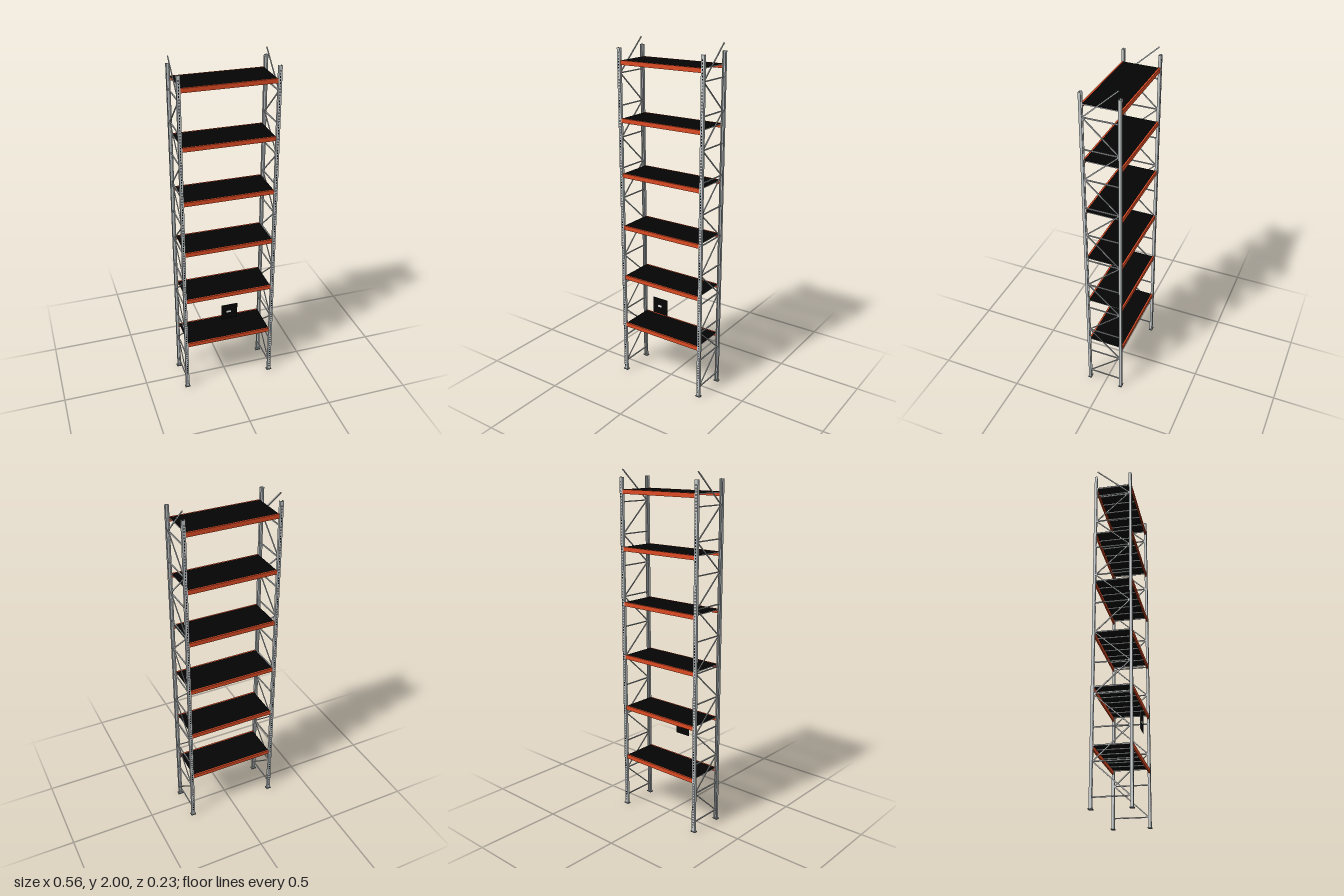
import * as THREE from 'three';
import { mergeGeometries } from 'three/addons/utils/BufferGeometryUtils.js';

const mat = (name, color) => {
  const m = new THREE.MeshStandardMaterial({ color });
  m.name = name;
  return m;
};

export function createModel() {
  const steel = mat('galvanised steel', 0xc2c7c8);
  const plateSteel = mat('foot plate steel', 0x737d81);
  const orange = mat('beam orange', 0xdc4a22);
  const black = mat('deck black', 0x040404);
  const white = mat('label white', 0xf2f2f2);

  const root = new THREE.Group();
  root.name = 'palletRack';
  const add = (parent, name, geo, material, x = 0, y = 0, z = 0) => {
    const m = new THREE.Mesh(geo, material);
    m.name = name;
    m.position.set(x, y, z);
    parent.add(m);
    return m;
  };
  const box = (w, h, d) => new THREE.BoxGeometry(w, h, d);

  const PX = 0.265, PZ = 0.102, POST_H = 1.96;
  const W = 0.02, D = 0.015, T = 0.003;

  // Channel post: closed outer face, open towards the middle of the rack
  const u = new THREE.Shape();
  [[-W / 2, -D / 2], [W / 2, -D / 2], [W / 2, D / 2], [W / 2 - T, D / 2],
    [W / 2 - T, -D / 2 + T], [-W / 2 + T, -D / 2 + T], [-W / 2 + T, D / 2], [-W / 2, D / 2]]
    .forEach(([x, y], i) => (i ? u.lineTo(x, y) : u.moveTo(x, y)));
  const postGeo = new THREE.ExtrudeGeometry(u, { depth: POST_H, bevelEnabled: false });
  postGeo.rotateX(-Math.PI / 2);

  // One column of slots on the outer face
  const slots = [];
  for (let y = 0.03; y < POST_H - 0.01; y += 0.016) {
    slots.push(new THREE.PlaneGeometry(0.005, 0.009).translate(0, y, D / 2 + 0.0006));
  }
  const slotGeo = mergeGeometries(slots);

  for (const sx of [-1, 1]) {
    for (const sz of [-1, 1]) {
      const post = new THREE.Group();
      post.name = 'post';
      post.position.set(sx * PX, 0, sz * PZ);
      post.rotation.y = sz > 0 ? 0 : Math.PI;
      root.add(post);
      add(post, 'postChannel', postGeo, steel);
      add(post, 'postSlots', slotGeo, black);
      add(post, 'footPlate', box(0.031, 0.005, 0.022), plateSteel, 0, 0.0025, 0);
    }

    // Side frame bracing: level struts joined by a zigzag of diagonals
    const brace = new THREE.Group();
    brace.name = 'sideBracing';
    root.add(brace);
    const step = 0.1766, reach = 0.097;
    for (let i = 0; i < 11; i++) {
      const y = 0.06 + i * step;
      add(brace, 'strut', box(0.006, 0.006, reach * 2), steel, sx * PX, y, 0);
      const dir = i % 2 ? -1 : 1;
      const rise = step - 0.005;
      const d = add(brace, 'diagonal', box(0.005, 0.006, Math.hypot(rise, reach * 2 - 0.006)),
        steel, sx * PX, y + step / 2, 0);
      d.rotation.x = dir * Math.atan2(rise, reach * 2 - 0.006);
    }
  }

  // Shelf levels
  for (let i = 0; i < 6; i++) {
    const shelf = new THREE.Group();
    shelf.name = 'shelf';
    shelf.position.y = 0.326 + i * 0.3136;
    root.add(shelf);
    for (const sz of [-1, 1]) {
      add(shelf, 'beam', box(0.514, 0.024, 0.008), orange, 0, -0.012, sz * 0.103);
    }
    add(shelf, 'deck', box(0.507, 0.002, 0.198), black, 0, -0.001, 0);
    // Cross bars under the deck, the outer two flush with its ends
    for (let k = 0; k < 7; k++) {
      add(shelf, 'supportBar', box(0.004, 0.005, 0.198), steel, (k - 3) * 0.0838, -0.0045, 0);
    }
  }

  // Load notice plate at the front: steel sheet, black faces, plain white label
  const notice = new THREE.Group();
  notice.name = 'noticePlate';
  notice.position.set(0, 0.511, 0.108);
  root.add(notice);
  add(notice, 'noticeSheet', box(0.098, 0.098, 0.002),
    [steel, steel, steel, steel, black, black]);
  add(notice, 'noticeLabel', box(0.026, 0.012, 0.001), white, -0.004, 0, 0.0012);

  return root;
}
